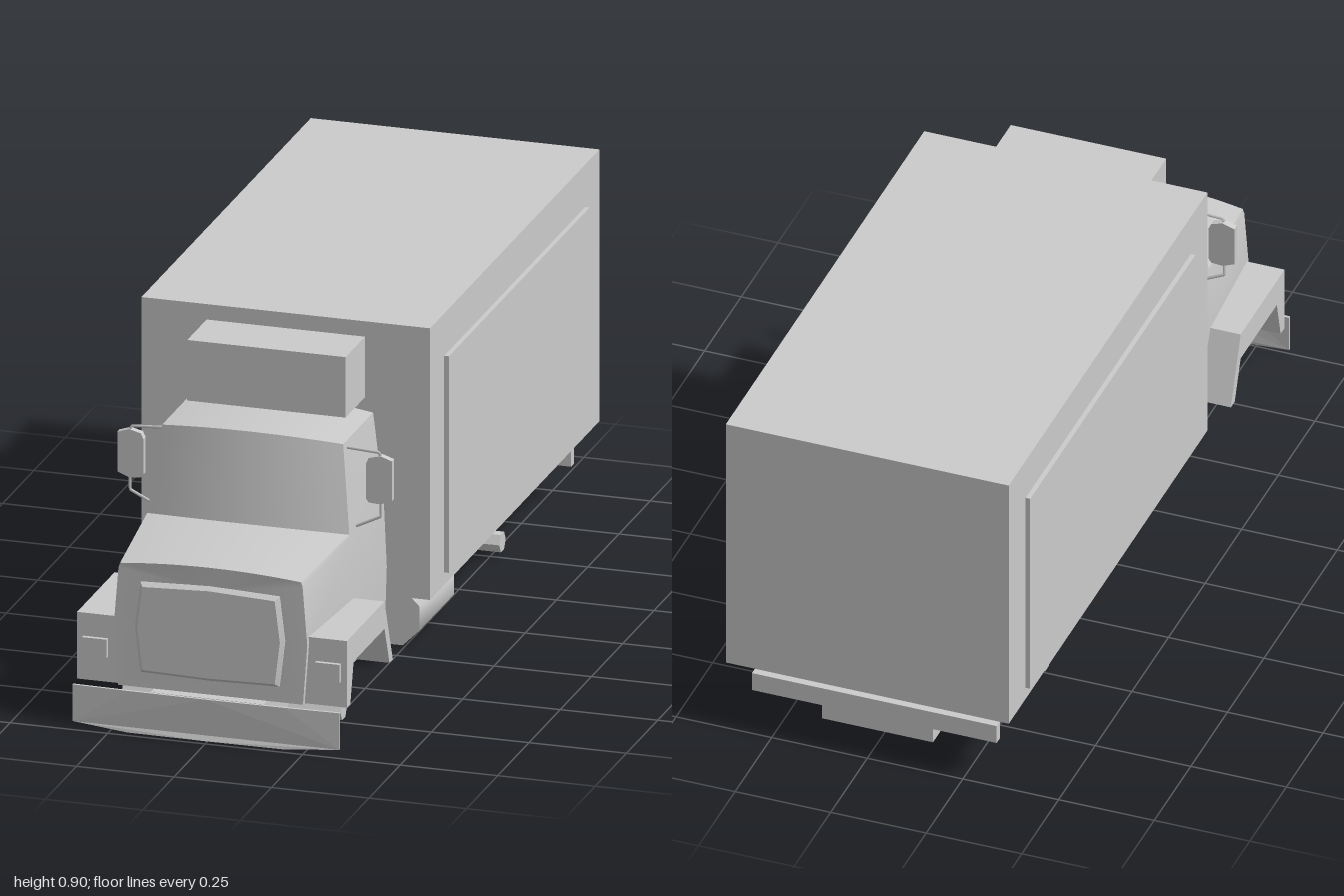
import * as THREE from 'three';
import { toCreasedNormals } from 'three/addons/utils/BufferGeometryUtils.js';

const material = new THREE.MeshStandardMaterial({ color: 0xcccccc });

export function createModel() {
  const truck = new THREE.Group();
  truck.name = 'boxTruck';

  const add = (name, geometry) => {
    const mesh = new THREE.Mesh(geometry, material);
    mesh.name = name;
    truck.add(mesh);
    return mesh;
  };
  // Box given by its limits on each axis
  const box = (name, x0, x1, y0, y1, z0, z1) =>
    add(name, new THREE.BoxGeometry(x1 - x0, y1 - y0, z1 - z0))
      .position.set((x0 + x1) / 2, (y0 + y1) / 2, (z0 + z1) / 2);
  const shape = pts => new THREE.Shape(pts.map(p => new THREE.Vector2(...p)));
  const extrude = (pts, depth) =>
    new THREE.ExtrudeGeometry(shape(pts), { depth, bevelEnabled: false });

  // Surface through closed sections, ordered back to front, with end caps
  const loft = (sections, crease) => {
    const pos = [];
    const tri = (...pts) => pts.forEach(p => pos.push(...p));
    const n = sections[0].length;
    for (let s = 0; s < sections.length - 1; s++) {
      for (let i = 0; i < n; i++) {
        const j = (i + 1) % n, A = sections[s], B = sections[s + 1];
        tri(A[i], A[j], B[i]);
        tri(A[j], B[j], B[i]);
      }
    }
    const centre = sec => [0, 1, 2].map(k => sec.reduce((t, p) => t + p[k], 0) / n);
    const back = sections[0], front = sections[sections.length - 1];
    const cb = centre(back), cf = centre(front);
    for (let i = 0; i < n; i++) {
      const j = (i + 1) % n;
      tri(cb, back[j], back[i]);
      tri(cf, front[i], front[j]);
    }
    const g = new THREE.BufferGeometry();
    g.setAttribute('position', new THREE.Float32BufferAttribute(pos, 3));
    g.computeVertexNormals();
    return toCreasedNormals(g, crease);
  };

  // Cargo body with side panels and the cooling unit
  box('cargoBody', -0.37, 0.37, 0.195, 0.9, -1, 0.355);
  box('coolingUnit', -0.203, 0.203, 0.703, 0.86, 0.35, 0.51);

  // Chassis, lower ahead of the cab's rear wall
  box('chassisRear', -0.145, 0.145, 0.04, 0.195, -0.93, 0.38);
  box('chassisFront', -0.145, 0.145, 0.04, 0.115, 0.38, 0.985);
  box('rearBumper', -0.32, 0.32, 0.095, 0.145, -0.952, -0.93);

  // Cab section: side heights and half widths, then a crowned top with a bowed front
  const cabSection = (zEdge, bow, side, crown) => {
    const [w, y] = side[side.length - 1];
    const right = side.map(([x, h]) => [x, h, zEdge]);
    const left = side.map(([x, h]) => [-x, h, zEdge]).reverse();
    const top = [];
    for (let i = 1; i < 12; i++) {
      const t = 1 - i / 6, arch = 1 - t * t;
      top.push([w * t, y + crown * arch, zEdge + bow * arch]);
    }
    return [...right, ...top, ...left];
  };
  const roofSide = [[0.262, 0.115], [0.267, 0.28], [0.259, 0.455], [0.232, 0.675]];
  add('cab', loft([
    cabSection(0.38, 0, roofSide, 0.018),
    cabSection(0.62, 0.03, roofSide, 0.018),
    cabSection(0.655, 0.035, [[0.262, 0.115], [0.267, 0.28], [0.26, 0.445], [0.259, 0.455]], 0.012),
    cabSection(0.957, 0.008, [[0.237, 0.115], [0.248, 0.27], [0.236, 0.42], [0.232, 0.432]], 0.015),
  ], 0.45));

  // Raised grille panel with bevelled rim
  const grilleRing = (z, inset) => [
    [0.178, 0.157], [0.192, 0.275], [0.178, 0.39], [0, 0.398],
    [-0.178, 0.39], [-0.192, 0.275], [-0.178, 0.157], [0, 0.153],
  ].map(([x, y]) => [x * (1 - inset / 0.19), 0.275 + (y - 0.275) * (1 - inset / 0.12), z]);
  add('grille', loft([grilleRing(0.95, 0), grilleRing(0.962, 0), grilleRing(0.973, 0.009)], 0.3));

  // Front bumper: thin plate with a shallow bow
  const bumper = extrude([
    [-0.342, 0.022], [-0.2, 0.009], [0, 0.009], [0.2, 0.009], [0.342, 0.022],
    [0.342, 0.117], [0.2, 0.117], [0, 0.117], [-0.2, 0.117], [-0.342, 0.117],
  ], 0.007);
  const bp = bumper.attributes.position;
  for (let i = 0; i < bp.count; i++) {
    bp.setZ(i, bp.getZ(i) + 0.993 - 0.006 * (bp.getX(i) / 0.342) ** 2);
  }
  bumper.computeVertexNormals();
  add('frontBumper', bumper);

  // Axles with their central housings
  for (const [name, z] of [['frontAxle', 0.765], ['rearAxle', -0.505]]) {
    const hex = (part, r, length, squash) => {
      const g = new THREE.CylinderGeometry(r, r, length, 6);
      g.rotateZ(Math.PI / 2);
      g.scale(1, squash, 1);
      add(part, toCreasedNormals(g, 0.5)).position.set(0, 0.041, z);
    };
    hex(name, 0.026, 0.56, 1);
    hex(name + 'Housing', 0.053, 0.195, 0.7);
  }

  // Parts repeated on both sides
  for (const s of [1, -1]) {
    const side = s > 0 ? 'left' : 'right';
    const sideBox = (name, x0, x1, ...rest) =>
      box(side + name, Math.min(s * x0, s * x1), Math.max(s * x0, s * x1), ...rest);

    sideBox('SidePanel', 0.36, 0.382, 0.228, 0.79, -0.885, 0.242);
    sideBox('Headlight', 0.267, 0.33, 0.18, 0.228, 0.93, 0.956);

    // Octagonal fuel tank
    const tank = new THREE.CylinderGeometry(0.08, 0.08, 0.275, 8);
    tank.rotateY(Math.PI / 8).rotateX(Math.PI / 2);
    add(side + 'FuelTank', toCreasedNormals(tank, 0.9)).position.set(s * 0.212, 0.076, 0.038);

    // Fender with wheel arch, outlined in z and y
    const fender = extrude([
      [0.945, 0.115], [0.945, 0.288], [0.645, 0.288], [0.578, 0.115],
      [0.605, 0.115], [0.645, 0.217], [0.892, 0.217], [0.918, 0.115],
    ], 0.115);
    fender.rotateY(-Math.PI / 2);
    fender.translate(s > 0 ? 0.346 : -0.231, 0, 0);
    add(side + 'Fender', fender);

    // Mirror, chamfered toward the cab, and its bracket
    const outline = [
      [0.352, 0.535], [0.352, 0.638], [0.322, 0.648], [0.292, 0.64],
      [0.285, 0.625], [0.285, 0.535], [0.292, 0.525], [0.322, 0.523],
    ].map(([x, y]) => [s * x, y]);
    const mirror = extrude(outline, 0.018);
    mirror.translate(0, 0, 0.586);
    add(side + 'Mirror', mirror);

    const corners = [[0.235, 0.66], [0.32, 0.655], [0.322, 0.49], [0.255, 0.457]]
      .map(([x, y]) => new THREE.Vector3(s * x, y, 0.597));
    const path = new THREE.CurvePath();
    for (let i = 0; i < 3; i++) path.add(new THREE.LineCurve3(corners[i], corners[i + 1]));
    add(side + 'MirrorBracket', new THREE.TubeGeometry(path, 40, 0.004, 5));
  }

  return truck;
}
